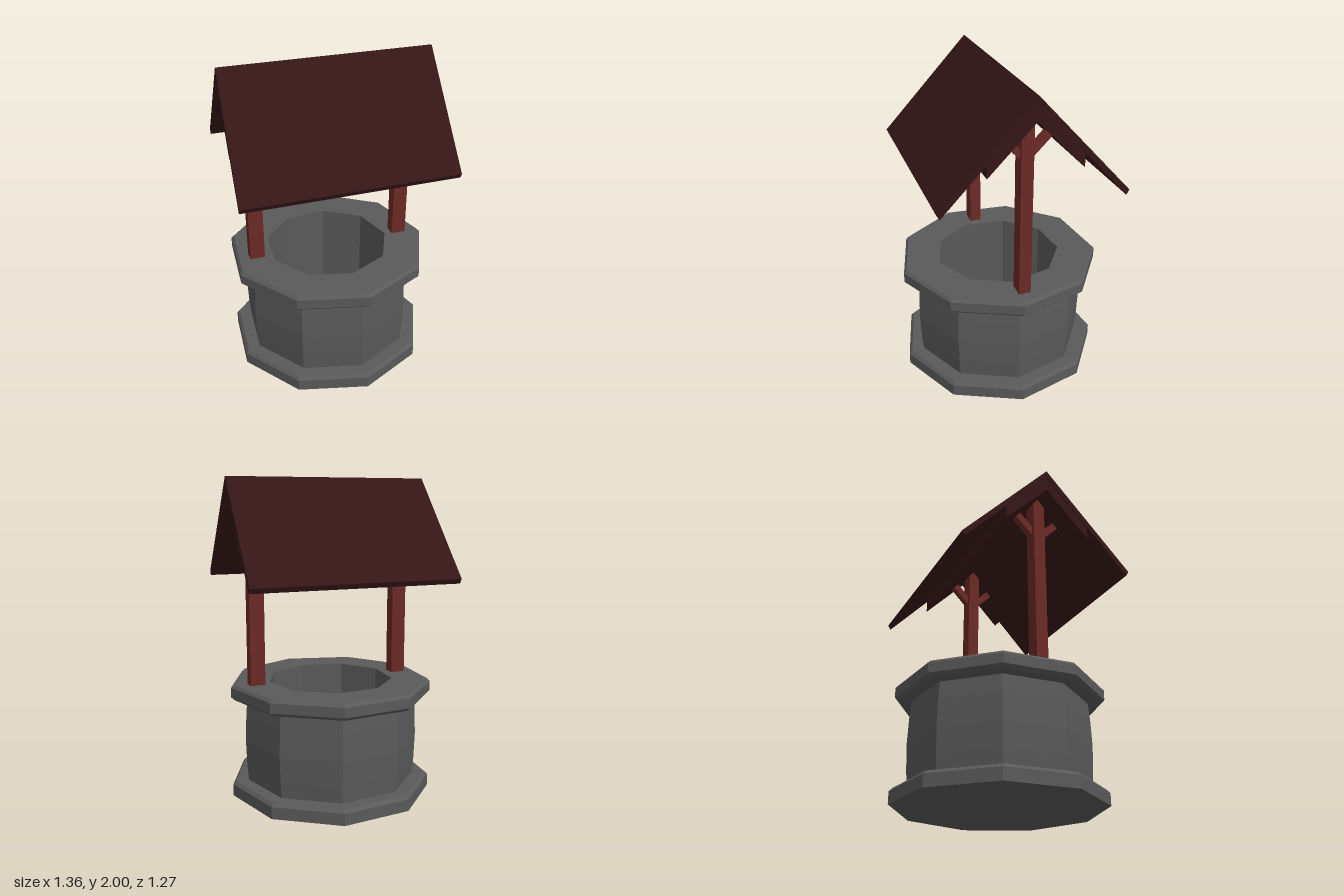
import * as THREE from 'three';

const SIDES = 9;
const TURN = THREE.MathUtils.degToRad(5.4);

const flat = (color) => new THREE.MeshStandardMaterial({ color, flatShading: true });
const stone = flat(0x5a5a5a);
const timber = flat(0x6b2a26);
const roofing = flat(0x351616);

function mesh(name, geometry, material) {
  const m = new THREE.Mesh(geometry, material);
  m.name = name;
  return m;
}

// Nine-sided stone ring turned from [radius, height] pairs
function ring(name, profile) {
  const points = profile.map(([r, y]) => new THREE.Vector2(r, y));
  const m = mesh(name, new THREE.LatheGeometry(points, SIDES, TURN), stone);
  m.position.set(-0.005, 0, -0.006);
  return m;
}

// Gable section in [z, y], extruded along x; the ends slant with z
function gable(name, section, halfLength) {
  const shape = new THREE.Shape(section.map(([z, y]) => new THREE.Vector2(-z, y)));
  const g = new THREE.ExtrudeGeometry(shape, { depth: halfLength * 2, bevelEnabled: false });
  g.translate(0, 0, -halfLength).rotateY(Math.PI / 2);
  const p = g.attributes.position;
  for (let i = 0; i < p.count; i++) p.setX(i, p.getX(i) - 0.045 * p.getZ(i));
  g.computeVertexNormals();
  return mesh(name, g, roofing);
}

// Post with two diagonal braces under the ridge
function post(name, x) {
  const group = new THREE.Group();
  group.name = name;
  const upright = mesh('upright', new THREE.BoxGeometry(0.094, 1.18, 0.075), timber);
  upright.position.y = 1.27;
  group.add(upright);
  for (const s of [-1, 1]) {
    const brace = mesh('brace', new THREE.BoxGeometry(0.045, 0.045, 0.19), timber);
    brace.position.set(0, 1.68, s * 0.088);
    brace.rotation.x = -s * Math.PI / 4;
    group.add(brace);
  }
  group.position.set(x, 0, 0.006);
  return group;
}

export function createModel() {
  const model = new THREE.Group();
  model.name = 'well';

  // Stone base, slightly barrelled wall and bevelled rim
  model.add(
    ring('base', [[0, 0], [0.647, 0], [0.647, 0.075], [0.628, 0.095], [0, 0.095]]),
    ring('wall', [
      [0.545, 0.09], [0.554, 0.2], [0.56, 0.36], [0.554, 0.52], [0.545, 0.64],
      [0.4, 0.64], [0.4, 0.09],
    ]),
    ring('rim', [
      [0.4, 0.63], [0.625, 0.63], [0.647, 0.65], [0.647, 0.712], [0.63, 0.73],
      [0.4, 0.73], [0.4, 0.63],
    ]),
  );

  // Timber posts
  model.add(post('leftPost', 0.486), post('rightPost', -0.488));

  // Roof boards and the thicker lining below the ridge
  model.add(
    gable('roof', [
      [0, 2], [0.552, 1.4], [0.535, 1.37], [0, 1.953], [-0.535, 1.37], [-0.552, 1.4],
    ], 0.655),
    gable('roofLining', [
      [0, 1.96], [0.275, 1.66], [0.275, 1.57], [0, 1.86], [-0.275, 1.57], [-0.275, 1.66],
    ], 0.65),
  );

  return model;
}
